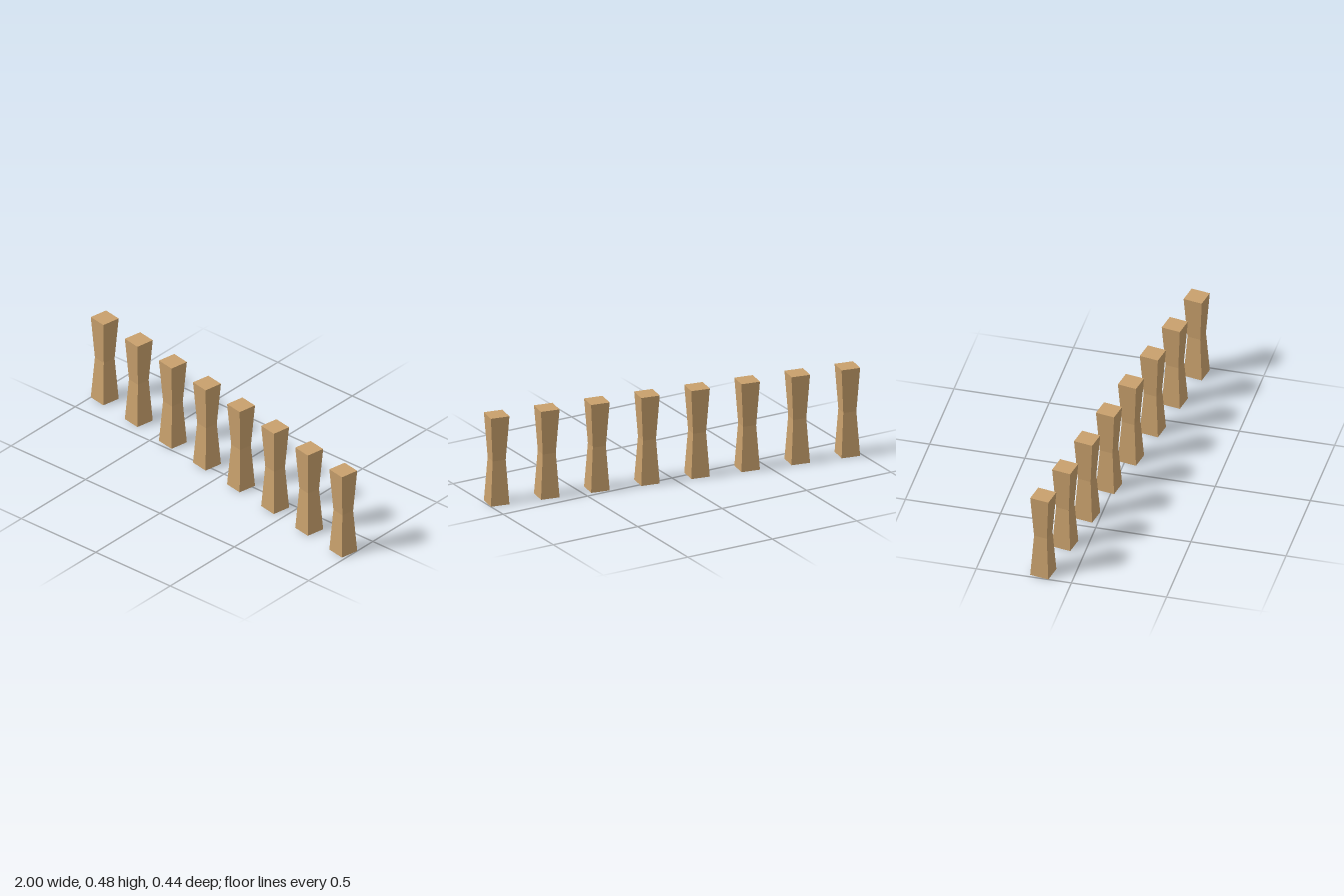
import * as THREE from 'three';

const COUNT = 8, SIZE = 0.101, HEIGHT = 0.48, WAIST = 0.705;
const SPACING = 0.273, ANGLE = THREE.MathUtils.degToRad(9.8);

// Square post pinched at mid-height
function postGeometry() {
  const box = new THREE.BoxGeometry(SIZE, HEIGHT, SIZE, 1, 2, 1);
  const p = box.attributes.position;
  for (let i = 0; i < p.count; i++) {
    if (Math.abs(p.getY(i)) < 0.001) {
      p.setX(i, p.getX(i) * WAIST);
      p.setZ(i, p.getZ(i) * WAIST);
    }
  }
  const geometry = box.toNonIndexed();
  geometry.computeVertexNormals();
  return geometry.translate(0, HEIGHT / 2, 0);
}

export function createModel() {
  const model = new THREE.Group();
  model.name = 'postRow';
  const wood = new THREE.MeshStandardMaterial({ color: 0xc8a06c, flatShading: true });
  wood.name = 'wood';

  // Evenly spaced posts along a slightly turned line
  const row = new THREE.Group();
  row.name = 'posts';
  const geometry = postGeometry();
  for (let i = 0; i < COUNT; i++) {
    const post = new THREE.Mesh(geometry, wood);
    post.name = `post${i + 1}`;
    post.position.x = (i - (COUNT - 1) / 2) * SPACING;
    row.add(post);
  }
  row.rotation.y = -ANGLE;
  model.add(row);
  return model;
}
